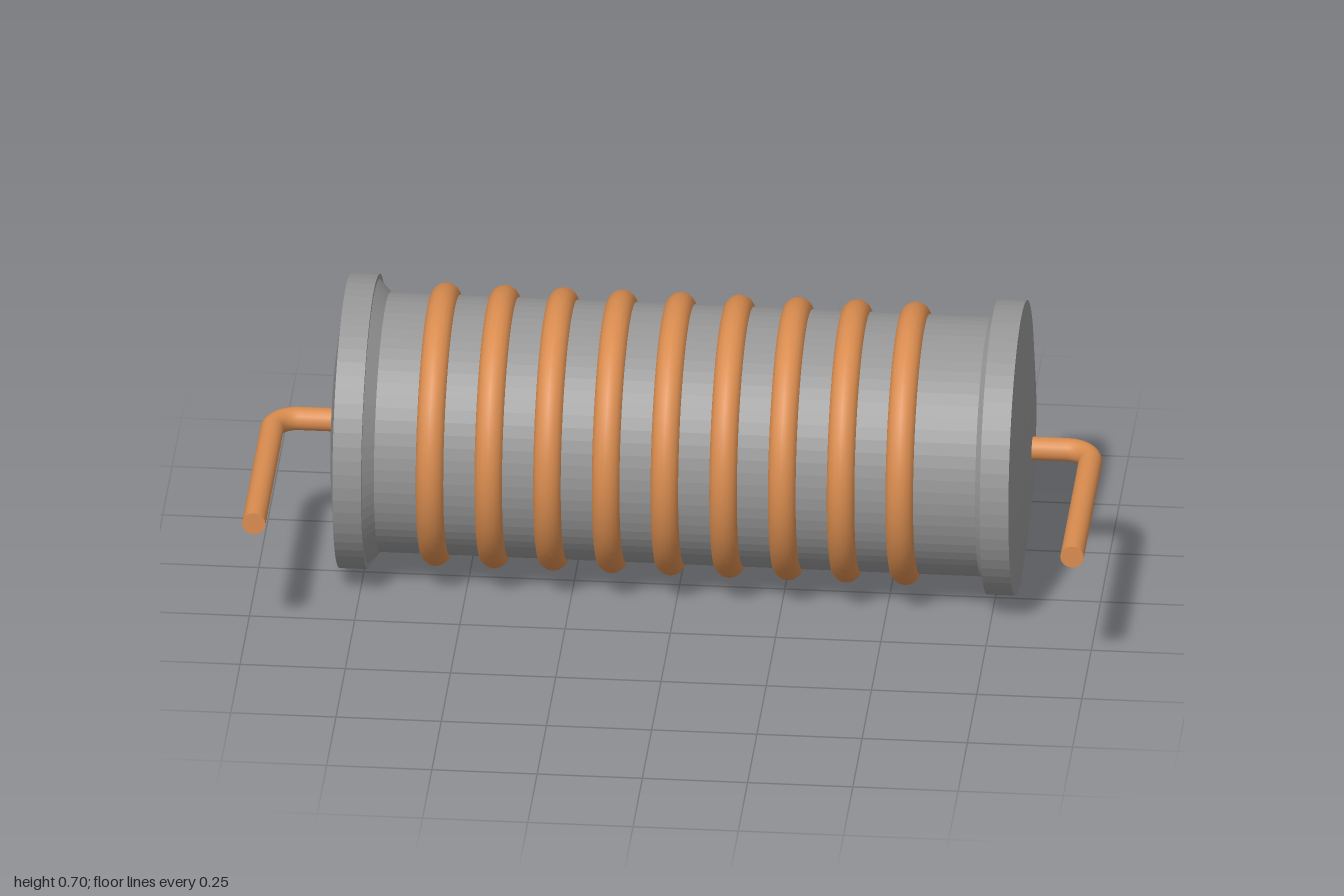
import * as THREE from 'three';

const grey = new THREE.MeshStandardMaterial({ color: 0x969696, flatShading: true });
const copper = new THREE.MeshStandardMaterial({ color: 0xd98c4f });

function addMesh(parent, name, geometry, material) {
  const mesh = new THREE.Mesh(geometry, material);
  mesh.name = name;
  parent.add(mesh);
  return mesh;
}

// Bent lead: short axial stub, quarter bend, long leg towards the front
function makeLead(name) {
  const lead = new THREE.Group();
  lead.name = name;
  const r = 0.028, bend = 0.06, startX = 0.78, legX = 0.972, endZ = 0.55;

  const stubLength = legX - bend - startX;
  const stub = addMesh(lead, 'leadStub', new THREE.CylinderGeometry(r, r, stubLength, 20), copper);
  stub.rotation.z = -Math.PI / 2;
  stub.position.x = startX + stubLength / 2;

  const elbow = addMesh(lead, 'leadBend', new THREE.TorusGeometry(bend, r, 20, 8, Math.PI / 2), copper);
  elbow.rotation.x = -Math.PI / 2;
  elbow.position.set(legX - bend, 0, bend);

  const leg = addMesh(lead, 'leadLeg', new THREE.CylinderGeometry(r, r, endZ - bend, 20), copper);
  leg.rotation.x = Math.PI / 2;
  leg.position.set(legX, 0, (endZ + bend) / 2);
  return lead;
}

export function createModel() {
  const model = new THREE.Group();
  model.name = 'coilComponent';
  const assembly = new THREE.Group();
  assembly.name = 'assembly';
  assembly.position.set(0, 0.35, -0.1);
  model.add(assembly);

  // Core with flanged, slightly domed ends: [radius, x]
  const profile = [
    [0, -0.83], [0.1, -0.828], [0.2, -0.821], [0.35, -0.803],
    [0.35, -0.735], [0.338, -0.735], [0.308, -0.708],
    [0.308, 0.72], [0.325, 0.735], [0.35, 0.735],
    [0.35, 0.803], [0.2, 0.821], [0.1, 0.828], [0, 0.83],
  ].map(([r, x]) => new THREE.Vector2(r, x));
  addMesh(assembly, 'core', new THREE.LatheGeometry(profile, 64), grey).rotation.z = -Math.PI / 2;

  // Nine copper rings evenly spaced along the core
  const windings = new THREE.Group();
  windings.name = 'windings';
  assembly.add(windings);
  for (let i = 0; i < 9; i++) {
    const ring = addMesh(windings, 'windingRing', new THREE.TorusGeometry(0.302, 0.034, 16, 64), copper);
    ring.rotation.y = Math.PI / 2;
    ring.position.x = -0.576 + i * 0.1395;
  }

  // Half turn about the depth axis places the second lead at the other end
  const rightLead = makeLead('rightLead');
  rightLead.rotation.z = Math.PI;
  assembly.add(makeLead('leftLead'), rightLead);

  return model;
}
